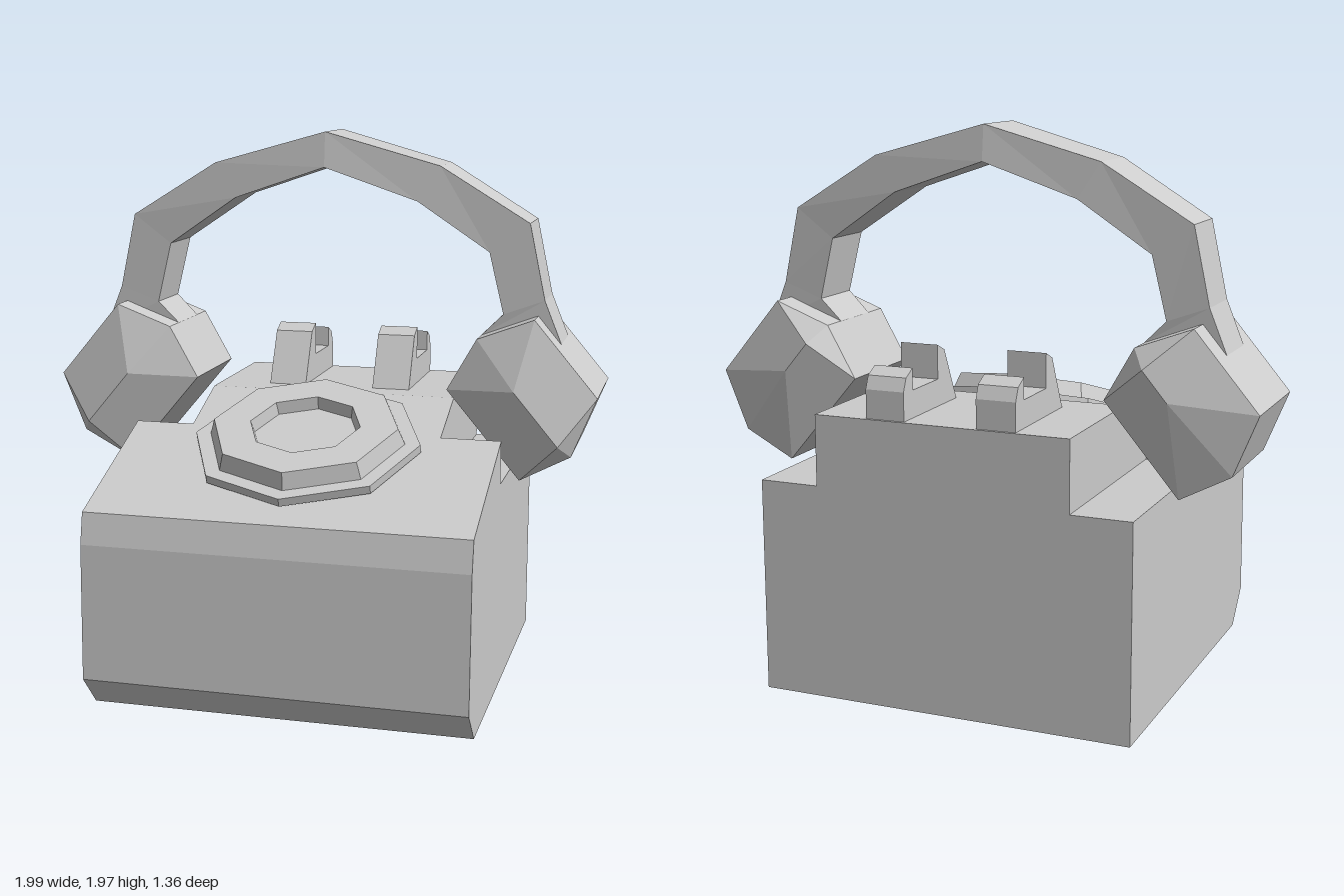
import * as THREE from 'three';
import { ConvexGeometry } from 'three/addons/geometries/ConvexGeometry.js';

const material = new THREE.MeshStandardMaterial({ color: 0xcccccc, flatShading: true });
const MID_Z = -0.175; // depth of the handset's centre plane

function part(name, geometry) {
  const mesh = new THREE.Mesh(geometry, material);
  mesh.name = name;
  return mesh;
}

// Side profile of [z, y] points, extruded across x and centred on x = 0
function sideExtrude(points, width) {
  const shape = new THREE.Shape(points.map(([z, y]) => new THREE.Vector2(z, y)));
  return new THREE.ExtrudeGeometry(shape, { depth: width, bevelEnabled: false })
    .translate(0, 0, -width / 2)
    .rotateY(-Math.PI / 2);
}

// Rectangular tube through stations of [outerX, outerY, innerX, innerY, outerHalfZ, innerHalfZ]
function handleGeometry(stations) {
  const corners = stations.map(([ox, oy, ix, iy, oh, ih]) => [
    [ox, oy, MID_Z + oh], [ox, oy, MID_Z - oh],
    [ix, iy, MID_Z - ih], [ix, iy, MID_Z + ih],
  ]);
  const positions = [];
  for (let s = 0; s < corners.length - 1; s++) {
    for (let k = 0; k < 4; k++) {
      const n = (k + 1) % 4;
      const a = corners[s][k], b = corners[s][n];
      const c = corners[s + 1][n], d = corners[s + 1][k];
      positions.push(...a, ...b, ...c, ...a, ...c, ...d);
    }
  }
  const geometry = new THREE.BufferGeometry();
  geometry.setAttribute('position', new THREE.Float32BufferAttribute(positions, 3));
  geometry.computeVertexNormals();
  return geometry;
}

// Faceted cup: square ends and an eight-sided waist along a tilted axis
function cupGeometry(side) {
  const points = [];
  // a runs along the axis toward the lower inside, p across it
  const add = (a, p, z) => points.push(new THREE.Vector3(
    -side * (0.765 * a + 0.644 * p), -0.644 * a + 0.765 * p, MID_Z + z));
  const rings = [[-1.45, 0.175, 0.525], [-1.247, 0.068, 0.597], [-1.048, 0.111, 0.523]];
  for (const [a, low, high] of rings) {
    for (const p of [low, high]) {
      add(a, p, 0.205);
      add(a, p, -0.205);
    }
  }
  for (const p of [0.13, 0.375]) add(-1.247, p, 0.275);
  for (const p of [0.385, 0.52]) add(-1.247, p, -0.275);
  return new ConvexGeometry(points);
}

export function createModel() {
  const model = new THREE.Group();
  model.name = 'telephone';

  // Body: wedge with low rear shoulders, plus the raised centre block
  model.add(part('body', sideExtrude([
    [-0.68, 0], [0.57, 0], [0.68, 0.12], [0.668, 0.6], [0.645, 0.71],
    [0.1, 0.915], [0.1, 0.76], [-0.68, 0.76],
  ], 1.35)));
  model.add(part('centreBlock', sideExtrude([
    [-0.68, 0.76], [0.1, 0.76], [0.1, 0.915], [-0.15, 1.01], [-0.68, 1.01],
  ], 0.92)));

  // Cradle hooks
  for (const side of [1, -1]) {
    const hook = part(side > 0 ? 'leftCradle' : 'rightCradle', sideExtrude([
      [-0.25, 1.0], [-0.35, 1.2], [-0.405, 1.225], [-0.405, 1.105], [-0.6, 1.105],
      [-0.6, 1.18], [-0.65, 1.155], [-0.67, 1.11], [-0.67, 1.0],
    ], 0.14));
    hook.position.x = side * 0.2;
    model.add(hook);
  }

  // Dial lying on the slope: flat plate and a raised ring with a recessed centre
  const dial = new THREE.Group();
  dial.name = 'dial';
  dial.add(part('dialPlate', new THREE.CylinderGeometry(0.41, 0.41, 0.03, 8).translate(0, 0.015, 0)));
  const ringProfile = [[0.355, 0.03], [0.335, 0.09], [0.2, 0.09], [0.19, 0.045], [0, 0.045]];
  dial.add(part('dialRing', new THREE.LatheGeometry(
    ringProfile.map(([r, y]) => new THREE.Vector2(r, y)), 8)));
  dial.position.set(0, 0.882, 0.2);
  dial.rotation.x = THREE.MathUtils.degToRad(19.5);
  dial.scale.z = 0.94;
  model.add(dial);

  // Handset: arched handle, mirrored about its apex, and two cups
  const half = [
    [0.855, 1.237, 0.57, 1.26, 0.105, 0.105],
    [0.793, 1.39, 0.647, 1.337, 0.105, 0.108],
    [0.735, 1.66, 0.594, 1.556, 0.105, 0.11],
    [0.415, 1.855, 0.337, 1.73, 0.115, 0.127],
  ];
  const mirrored = half.map(([ox, oy, ix, iy, oh, ih]) => [-ox, oy, -ix, iy, oh, ih]).reverse();
  const handset = new THREE.Group();
  handset.name = 'handset';
  handset.add(part('handle', handleGeometry(
    [...half, [0, 1.97, 0, 1.845, 0.128, 0.142], ...mirrored])));
  handset.add(part('leftCup', cupGeometry(1)), part('rightCup', cupGeometry(-1)));
  model.add(handset);

  return model;
}
